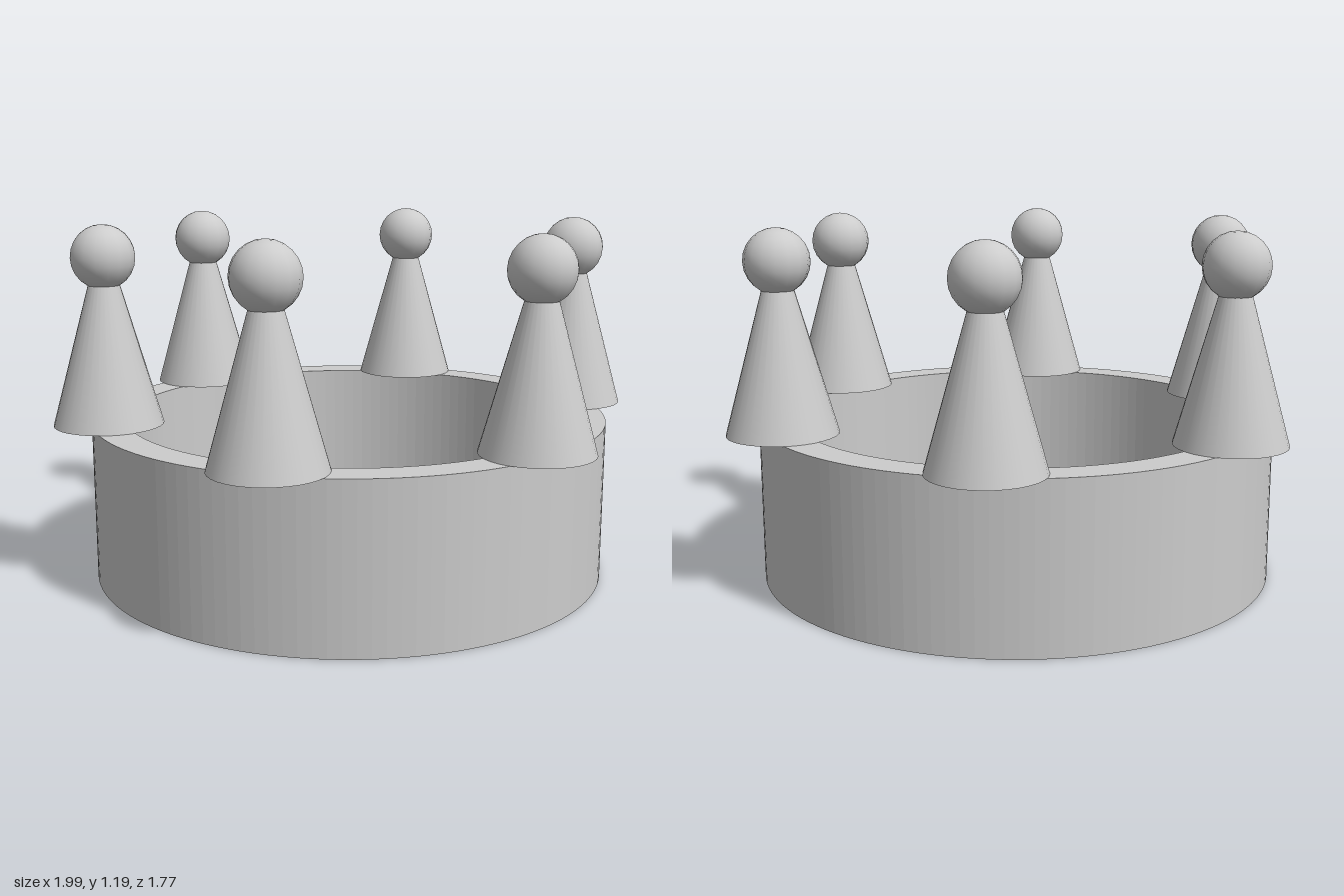
import * as THREE from 'three';

const BAND_HEIGHT = 0.535;
const OUTER = 0.873;
const INNER = 0.76;
const POINT_COUNT = 6;
const POINT_RING = 0.816;

// Hollow band: a ring extruded upward
function makeBand(material) {
  const ring = new THREE.Shape().absarc(0, 0, OUTER, 0, Math.PI * 2, false);
  ring.holes.push(new THREE.Path().absarc(0, 0, INNER, 0, Math.PI * 2, true));
  const geometry = new THREE.ExtrudeGeometry(ring, {
    depth: BAND_HEIGHT, bevelEnabled: false, curveSegments: 64,
  });
  geometry.rotateX(-Math.PI / 2);
  const band = new THREE.Mesh(geometry, material);
  band.name = 'band';
  return band;
}

export function createModel() {
  const crown = new THREE.Group();
  crown.name = 'crown';
  const metal = new THREE.MeshStandardMaterial({ color: 0xcccccc });
  metal.name = 'grey metal';

  crown.add(makeBand(metal));

  // Tapered points, each topped by a ball
  const coneHeight = 0.55;
  const coneGeometry = new THREE.CylinderGeometry(0.026, 0.18, coneHeight, 32);
  const ballGeometry = new THREE.SphereGeometry(0.105, 16, 12);

  for (let i = 0; i < POINT_COUNT; i++) {
    const angle = (i / POINT_COUNT) * Math.PI * 2;
    const point = new THREE.Group();
    point.name = `point${i + 1}`;
    point.position.set(Math.cos(angle) * POINT_RING, BAND_HEIGHT, Math.sin(angle) * POINT_RING);

    const cone = new THREE.Mesh(coneGeometry, metal);
    cone.name = 'cone';
    cone.position.y = coneHeight / 2;

    const ball = new THREE.Mesh(ballGeometry, metal);
    ball.name = 'ball';
    ball.position.y = coneHeight;

    point.add(cone, ball);
    crown.add(point);
  }
  return crown;
}
